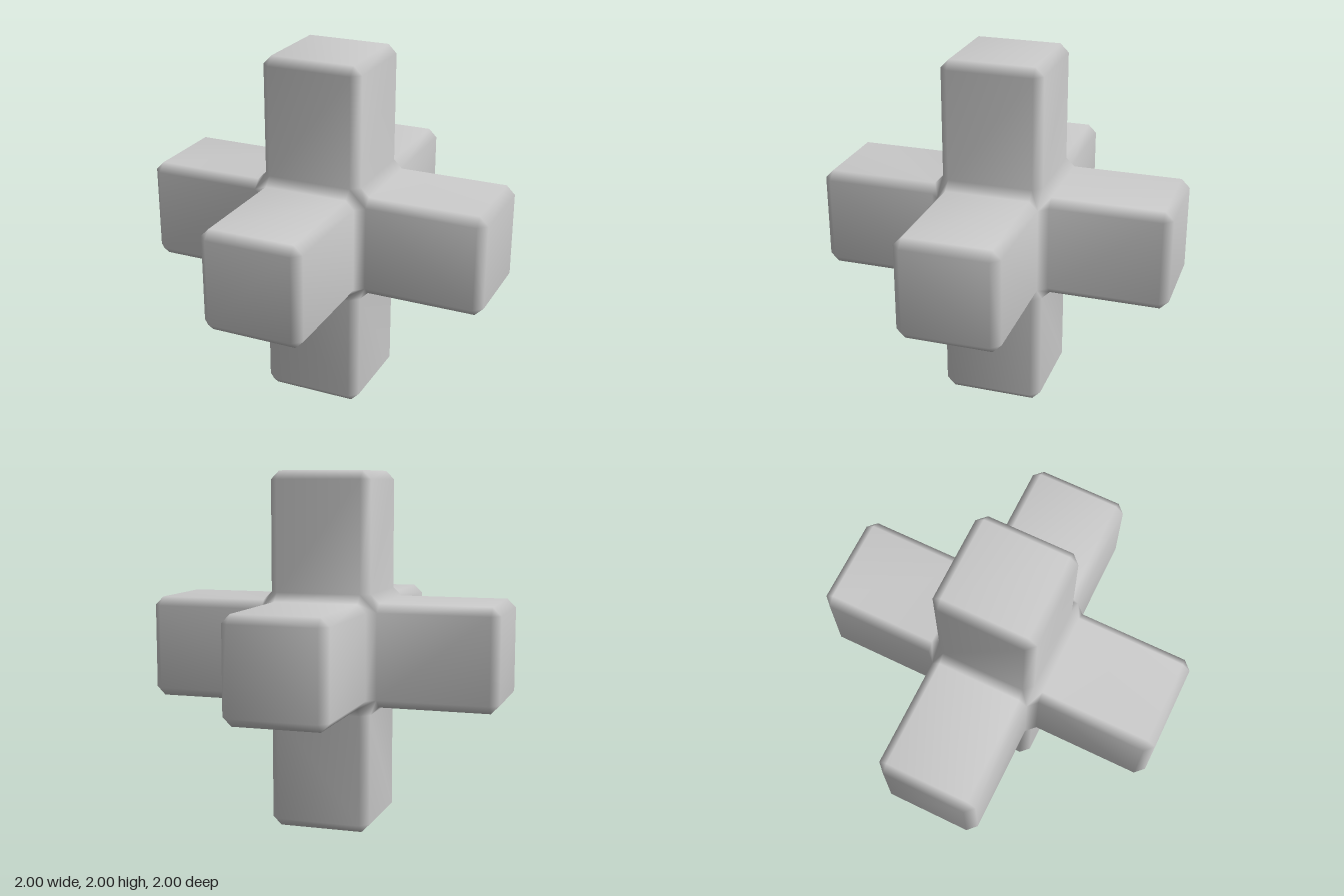
import * as THREE from 'three';
import { mergeVertices } from 'three/addons/utils/BufferGeometryUtils.js';

const HALF = 0.286;        // half thickness of an arm
const BEVEL = 0.048;       // chamfer on every edge
const FLAT = HALF - BEVEL; // half width of the flat part of a side
const ROOT = HALF + BEVEL; // where an arm leaves the inner chamfers

// Eight-cornered arm section, and the square of the end cap
const section = [[HALF, FLAT], [FLAT, HALF], [-FLAT, HALF], [-HALF, FLAT],
  [-HALF, -FLAT], [-FLAT, -HALF], [FLAT, -HALF], [HALF, -FLAT]];
const square = [[FLAT, FLAT], [-FLAT, FLAT], [-FLAT, -FLAT], [FLAT, -FLAT]];

// Point given along one axis and the two that follow it
function onAxis(axis, p, q, r) {
  const v = [0, 0, 0];
  v[axis] = p;
  v[(axis + 1) % 3] = q;
  v[(axis + 2) % 3] = r;
  return new THREE.Vector3(...v);
}

function crossGeometry() {
  const positions = [];

  // Adds a convex polygon, turned to face the outward direction
  function face(points, outward) {
    for (let i = 1; i < points.length - 1; i++) {
      const [a, b, c] = [points[0], points[i], points[i + 1]];
      const n = b.clone().sub(a).cross(c.clone().sub(a));
      const tri = n.dot(outward) > 0 ? [a, b, c] : [a, c, b];
      tri.forEach((p) => positions.push(p.x, p.y, p.z));
    }
  }

  for (let axis = 0; axis < 3; axis++) {
    for (const s of [-1, 1]) {
      // Arm: end cap, bevelled rim and eight sides
      const cap = square.map(([q, r]) => onAxis(axis, s, q, r));
      const rim = section.map(([q, r]) => onAxis(axis, s * (1 - BEVEL), q, r));
      const root = section.map(([q, r]) => onAxis(axis, s * ROOT, q, r));
      face(cap, onAxis(axis, s, 0, 0));
      for (let i = 0; i < 8; i++) {
        const j = (i + 1) % 8;
        const outward = onAxis(axis, 0, section[i][0] + section[j][0], section[i][1] + section[j][1]);
        face([root[i], root[j], rim[j], rim[i]], outward);
        const edge = [rim[i], rim[j], cap[j >> 1]];
        if (i % 2) edge.push(cap[i >> 1]);
        face(edge, outward);
      }

      // Chamfers in the inner angles between neighbouring arms
      for (const t of [-1, 1]) {
        face([
          onAxis(axis, s * ROOT, t * HALF, -FLAT), onAxis(axis, s * ROOT, t * HALF, FLAT),
          onAxis(axis, s * HALF, t * ROOT, FLAT), onAxis(axis, s * HALF, t * ROOT, -FLAT),
        ], onAxis(axis, s, t, 0));
      }
    }
  }

  // Six-sided facets where three arms meet
  for (const x of [-1, 1]) for (const y of [-1, 1]) for (const z of [-1, 1]) {
    const sign = new THREE.Vector3(x, y, z);
    const corner = [
      [ROOT, FLAT, HALF], [ROOT, HALF, FLAT], [HALF, ROOT, FLAT],
      [FLAT, ROOT, HALF], [FLAT, HALF, ROOT], [HALF, FLAT, ROOT],
    ].map((p) => new THREE.Vector3(...p).multiply(sign));
    face(corner, sign);
  }

  // Shared vertices give soft shading across the bevels
  const soup = new THREE.BufferGeometry();
  soup.setAttribute('position', new THREE.Float32BufferAttribute(positions, 3));
  const geometry = mergeVertices(soup, 1e-4);
  geometry.computeVertexNormals();
  return geometry;
}

export function createModel() {
  const group = new THREE.Group();
  const cross = new THREE.Mesh(crossGeometry(), new THREE.MeshStandardMaterial({ color: 0xcccccc }));
  cross.name = 'sixArmedCross';
  cross.position.y = 1;
  group.add(cross);
  return group;
}
